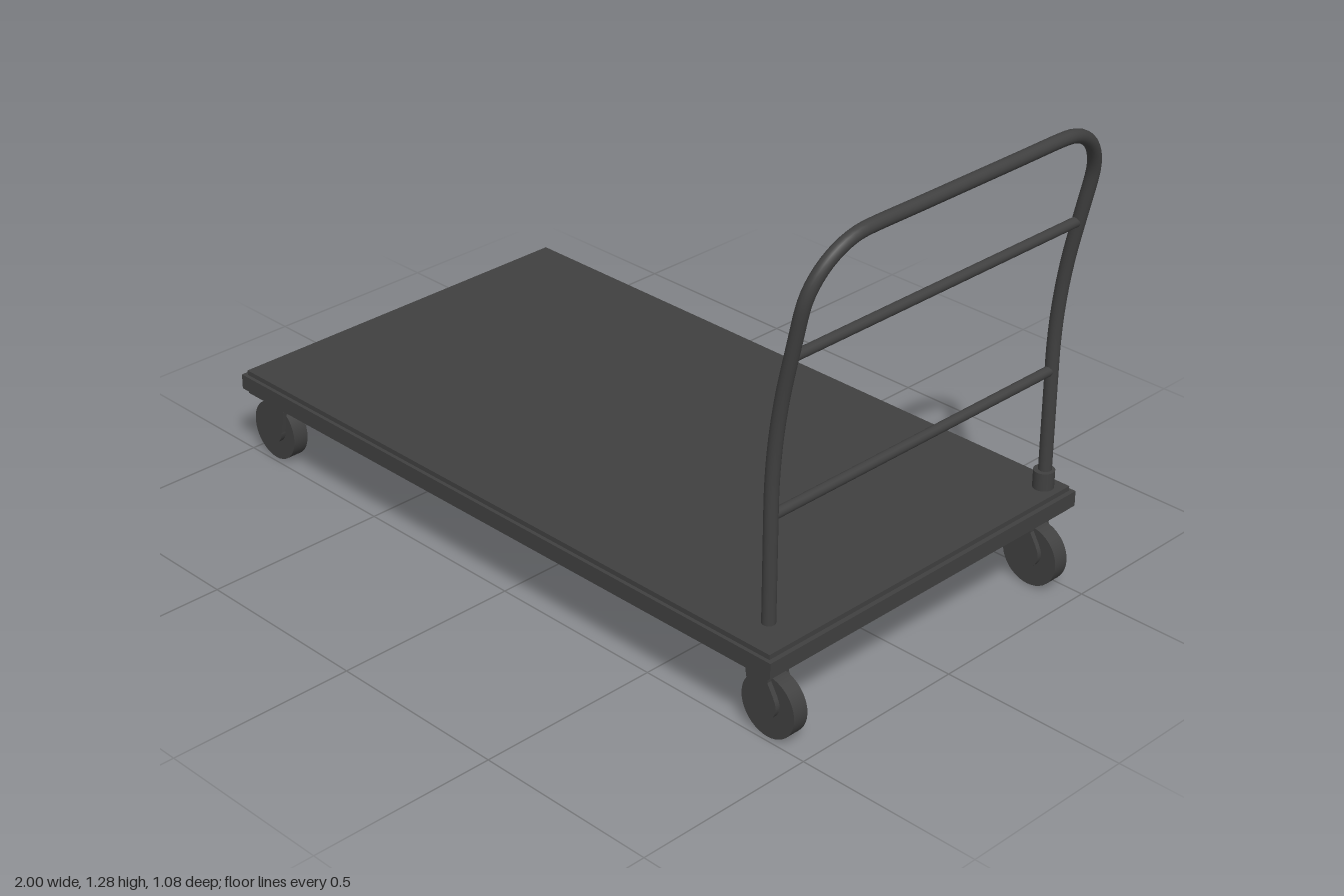
import * as THREE from 'three';

const material = new THREE.MeshStandardMaterial({ color: 0x404040 });

function add(parent, name, geometry, x = 0, y = 0, z = 0) {
  const mesh = new THREE.Mesh(geometry, material);
  mesh.name = name;
  mesh.position.set(x, y, z);
  parent.add(mesh);
  return mesh;
}

// Lean of the handle: vertical low down, bending outward, then straight
function handleX(y) {
  const y0 = 0.6, y1 = 0.95, slope = 0.23;
  if (y < y0) return 0.873;
  if (y < y1) return 0.873 + slope * (y - y0) ** 2 / (2 * (y1 - y0));
  return 0.873 + slope * (y1 - y0) / 2 + slope * (y - y1);
}

// Side plate of a caster fork, offset from the wheel axis along +x
function forkGeometry(thickness) {
  const s = new THREE.Shape();
  s.moveTo(-0.01, 0.197);
  s.lineTo(-0.01, 0.155);
  s.lineTo(-0.03, 0.122);
  s.absarc(0.005, 0.097, 0.042, Math.PI * 0.8, Math.PI * 2, false);
  s.lineTo(0.058, 0.16);
  s.lineTo(0.058, 0.197);
  s.closePath();
  const g = new THREE.ExtrudeGeometry(s, { depth: thickness, bevelEnabled: false, curveSegments: 16 });
  return g.translate(0, 0, -thickness / 2);
}

function createCaster(name) {
  const caster = new THREE.Group();
  caster.name = name;
  add(caster, 'wheel', new THREE.CylinderGeometry(0.082, 0.082, 0.044, 40).rotateX(Math.PI / 2), 0, 0.082, 0);
  add(caster, 'axle', new THREE.CylinderGeometry(0.015, 0.015, 0.07, 16).rotateX(Math.PI / 2), 0.003, 0.088, 0);
  for (const side of [-1, 1]) add(caster, 'forkPlate', forkGeometry(0.013), 0, 0, side * 0.029);
  return caster;
}

export function createModel() {
  const model = new THREE.Group();
  model.name = 'platformTrolley';

  // Deck with a protruding rim
  add(model, 'deck', new THREE.BoxGeometry(1.88, 0.067, 1.06), -0.0225, 0.2255, 0);
  add(model, 'deckRim', new THREE.BoxGeometry(1.905, 0.041, 1.08), -0.0225, 0.2255, 0);

  // Four casters, forks leaning toward the middle of the deck
  for (const z of [-0.465, 0.465]) {
    const back = createCaster('rightCaster');
    back.position.set(-0.918, 0, z);
    const front = createCaster('leftCaster');
    front.position.set(0.875, 0, z);
    front.rotation.y = Math.PI;
    model.add(back, front);
  }

  // Bent push handle: up one leg, around the corner, mirrored back down
  const halfZ = 0.487, topY = 1.264, r = 0.16, half = [];
  for (let i = 0; i <= 12; i++) {
    const y = 0.305 + (topY - r - 0.305) * i / 12;
    half.push([y, halfZ]);
  }
  for (let i = 1; i <= 8; i++) {
    const a = Math.PI / 2 * i / 8;
    half.push([topY - r + r * Math.sin(a), halfZ - r + r * Math.cos(a)]);
  }
  half.push([topY, 0.16]);
  const toPoint = ([y, z]) => new THREE.Vector3(handleX(y), y, z);
  const points = [
    ...half.map(toPoint),
    ...half.slice().reverse().map(([y, z]) => toPoint([y, -z])),
  ];
  const path = new THREE.CatmullRomCurve3(points);
  add(model, 'pushHandle', new THREE.TubeGeometry(path, 140, 0.017, 16));

  // Closed lower ends of the handle legs
  for (const side of [-1, 1]) {
    add(model, 'legEndCap', new THREE.CircleGeometry(0.017, 16).rotateX(Math.PI / 2), 0.873, 0.305, side * halfZ);
  }

  // Cross bars between the legs
  for (const y of [0.58, 0.99]) {
    add(model, 'crossBar', new THREE.CylinderGeometry(0.013, 0.013, halfZ * 2, 16).rotateX(Math.PI / 2), handleX(y), y, 0);
  }

  // Handle socket on the back corner
  add(model, 'handleSocket', new THREE.CylinderGeometry(0.027, 0.027, 0.052, 24), 0.873, 0.281, -0.484);

  return model;
}
